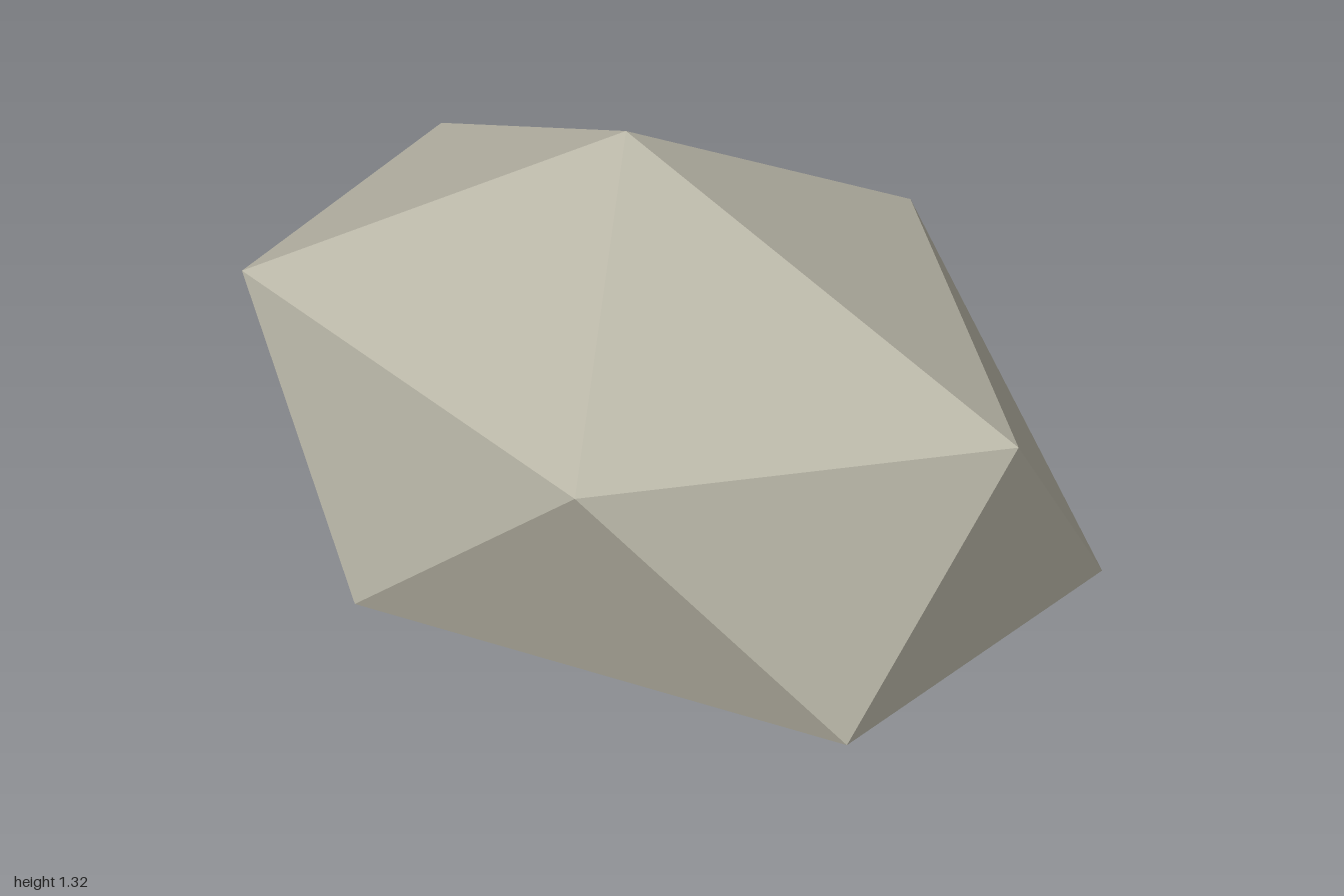
import * as THREE from 'three';

// Faceted boulder: two staggered five-point rings closed by a peak and a base point
export function createModel() {
  const peak = [0.02, 1.32, 0];
  const base = [0.02, 0, 0];
  const upper = [
    [0.98, 0.89, 0], [0.35, 0.92, 0.675], [-0.755, 0.89, 0.37],
    [-0.77, 0.895, -0.39], [0.35, 0.92, -0.675],
  ];
  const lower = [
    [0.84, 0.31, 0.4], [-0.28, 0.325, 0.62], [-1, 0.31, 0],
    [-0.29, 0.315, -0.645], [1, 0.26, -0.475],
  ];

  // Each step round the rings adds a cap, two side facets and an underside facet
  const positions = [];
  const facet = (...corners) => corners.forEach((c) => positions.push(...c));
  for (let i = 0; i < 5; i++) {
    const j = (i + 1) % 5;
    facet(peak, upper[j], upper[i]);
    facet(upper[i], upper[j], lower[i]);
    facet(lower[i], upper[j], lower[j]);
    facet(base, lower[i], lower[j]);
  }

  const geometry = new THREE.BufferGeometry();
  geometry.setAttribute('position', new THREE.Float32BufferAttribute(positions, 3));
  geometry.computeVertexNormals();

  const stone = new THREE.MeshStandardMaterial({ color: 0xb8b5a6, flatShading: true });
  stone.name = 'stone';
  const rock = new THREE.Mesh(geometry, stone);
  rock.name = 'rock';

  const group = new THREE.Group();
  group.name = 'boulder';
  group.add(rock);
  return group;
}
